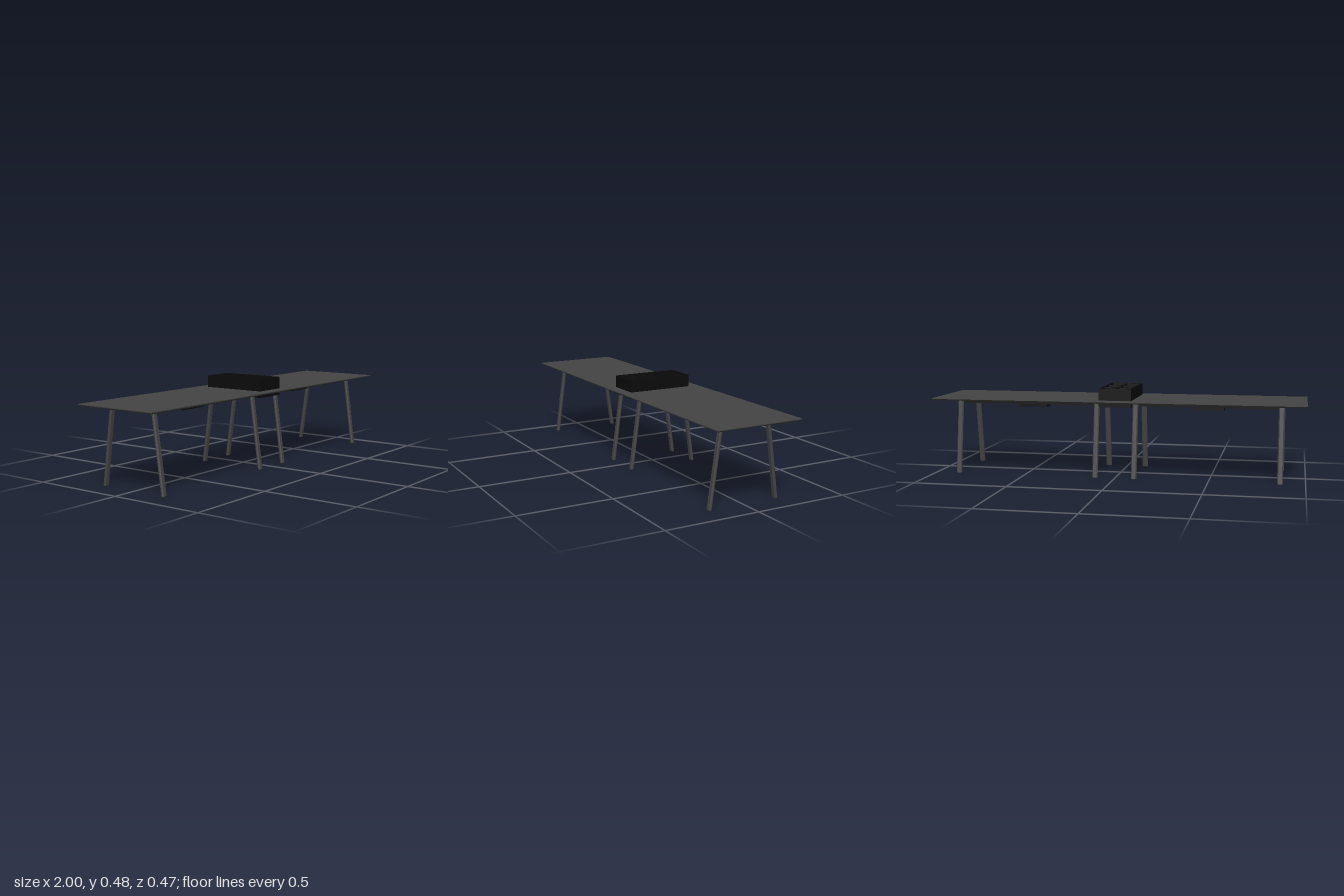
import * as THREE from 'three';

const grey = new THREE.MeshStandardMaterial({ color: 0x444444, flatShading: true });
const black = new THREE.MeshStandardMaterial({ color: 0x0b0b0b, flatShading: true });

export function createModel() {
  const model = new THREE.Group();
  model.name = 'meetingTable';

  const add = (name, geometry, material) => {
    const mesh = new THREE.Mesh(geometry, material);
    mesh.name = name;
    model.add(mesh);
    return mesh;
  };
  // Box given by its limits on each axis
  const box = (name, x0, x1, y0, y1, z0, z1) =>
    add(name, new THREE.BoxGeometry(x1 - x0, y1 - y0, z1 - z0), black)
      .position.set((x0 + x1) / 2, (y0 + y1) / 2, (z0 + z1) / 2);

  // Tabletop with an edge bevelled inwards underneath
  const top = new THREE.BoxGeometry(2, 0.012, 0.47, 1, 2, 1);
  const p = top.attributes.position;
  for (let i = 0; i < p.count; i++) {
    const y = p.getY(i);
    if (y < -0.003) {
      p.setX(i, Math.sign(p.getX(i)) * 0.987);
      p.setZ(i, Math.sign(p.getZ(i)) * 0.222);
    } else if (y < 0.003) p.setY(i, 0.002);
  }
  top.computeVertexNormals();
  add('tabletop', top, grey).position.y = 0.409;

  // Legs: chamfered section, leaning outwards, with bevelled feet
  const hx = 0.0125, hz = 0.006, c = 0.004;
  const section = new THREE.Shape([
    [-hx, -hz + c], [-hx + c, -hz], [hx - c, -hz], [hx, -hz + c],
    [hx, hz - c], [hx - c, hz], [-hx + c, hz], [-hx, hz - c],
  ].map(([x, y]) => new THREE.Vector2(x, y)));
  const legGeometry = side => {
    const g = new THREE.ExtrudeGeometry(section, {
      depth: 0.396, bevelSize: 0.0025, bevelThickness: 0.0035, bevelSegments: 1,
    });
    g.rotateX(-Math.PI / 2).translate(0, 0.0035, 0);
    const v = g.attributes.position;
    for (let i = 0; i < v.count; i++) {
      v.setZ(i, v.getZ(i) + side * (0.189 - 0.14 * v.getY(i)));
    }
    g.computeVertexNormals();
    return g;
  };
  for (const side of [-1, 1]) {
    for (const x of [-0.87, -0.105, 0.105, 0.87]) {
      add('leg', legGeometry(side), grey).position.x = x;
    }
    // Long rail joining the leg tops
    box('longRail', -0.855, 0.855, 0.383, 0.403, side * 0.118 - 0.014, side * 0.118 + 0.014);
  }

  // Cross rails between each pair of legs
  for (const x of [-0.87, -0.105, 0.105, 0.87]) {
    box('crossRail', x - 0.014, x + 0.014, 0.383, 0.403, -0.125, 0.125);
  }

  // Cable boxes under each half
  for (const x of [-0.487, 0.487]) {
    box('cableBox', x - 0.08, x + 0.08, 0.359, 0.403, -0.049, 0.049);
  }

  // Central console: body, raised rim and dividers
  box('consoleBody', -0.088, 0.088, 0.38, 0.466, -0.177, 0.177);
  for (const s of [-1, 1]) {
    box('consoleSideRim', s * 0.083 - 0.005, s * 0.083 + 0.005, 0.466, 0.478, -0.177, 0.177);
    box('consoleEndRim', -0.078, 0.078, 0.466, 0.478, s * 0.172 - 0.005, s * 0.172 + 0.005);
    box('consoleDivider', -0.078, 0.078, 0.466, 0.476, s * 0.06 - 0.004, s * 0.06 + 0.004);
  }
  box('consoleSpine', -0.004, 0.004, 0.466, 0.476, -0.167, 0.167);

  return model;
}
